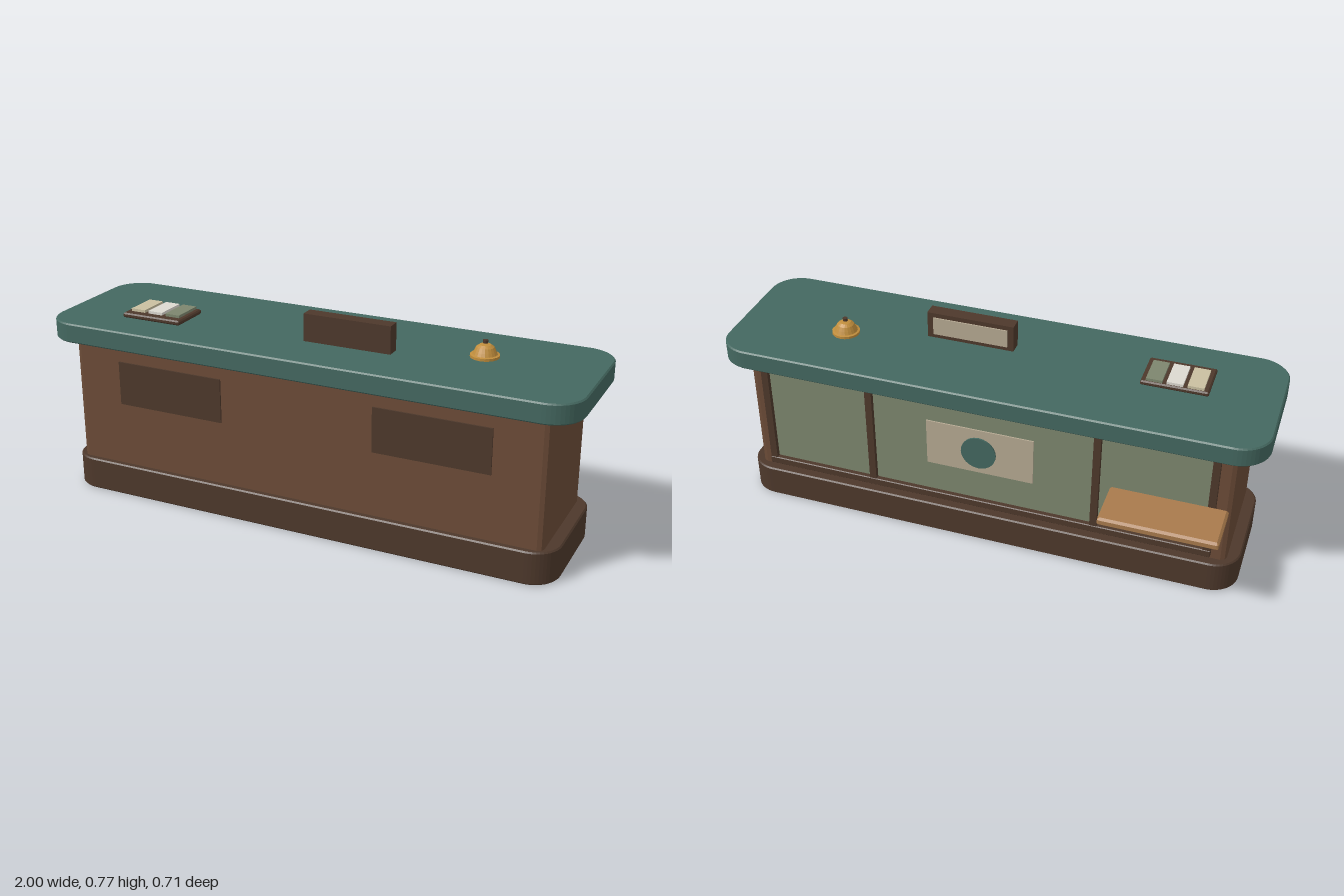
import * as THREE from 'three';

const COLORS = {
  teal: 0x446860, wood: 0x6b4b37, dark: 0x4d382b, oak: 0xa87a4c,
  sage: 0x7d866e, paper: 0xb5a992, cream: 0xc9bfa0, white: 0xdcd8d0, brass: 0xc08d3c,
};
const materials = {};
for (const [name, color] of Object.entries(COLORS)) {
  materials[name] = new THREE.MeshStandardMaterial({ color, flatShading: true });
}

export function createModel() {
  const model = new THREE.Group();

  const add = (name, geometry, material, parent = model) => {
    const mesh = new THREE.Mesh(geometry, materials[material]);
    mesh.name = name;
    parent.add(mesh);
    return mesh;
  };

  // Plain box given by its limits on each axis
  const box = (name, material, [x0, x1], [y0, y1], [z0, z1], parent) => {
    const mesh = add(name, new THREE.BoxGeometry(x1 - x0, y1 - y0, z1 - z0), material, parent);
    mesh.position.set((x0 + x1) / 2, (y0 + y1) / 2, (z0 + z1) / 2);
    return mesh;
  };

  // Horizontal slab with rounded (or cut, segments = 1) corners and bevelled rims
  const slab = (name, material, [x0, x1], [y0, y1], [z0, z1], radius, bevel, segments, parent) => {
    const w = (x1 - x0) / 2 - bevel, d = (z1 - z0) / 2 - bevel;
    const r = Math.max(radius - bevel, 0.0005);
    const shape = new THREE.Shape();
    const corners = [[1, 1], [-1, 1], [-1, -1], [1, -1]];
    corners.forEach(([sx, sz], i) => {
      const start = i * Math.PI / 2;
      shape.absarc(sx * (w - r), sz * (d - r), r, start, start + Math.PI / 2, false);
    });
    shape.closePath();
    const geometry = new THREE.ExtrudeGeometry(shape, {
      depth: y1 - y0 - 2 * bevel, bevelEnabled: true, bevelThickness: bevel,
      bevelSize: bevel, bevelSegments: 1, curveSegments: segments,
    });
    geometry.translate(0, 0, bevel);
    geometry.rotateX(-Math.PI / 2);
    const mesh = add(name, geometry, material, parent);
    mesh.position.set((x0 + x1) / 2, y0, (z0 + z1) / 2);
    return mesh;
  };

  // Main counter
  slab('plinth', 'dark', [-0.95, 0.95], [0, 0.122], [-0.177, 0.318], 0.1, 0.005, 6);
  slab('counterBody', 'wood', [-0.905, 0.905], [0.08, 0.595], [-0.14, 0.295], 0.026, 0.025, 1);
  slab('countertop', 'teal', [-1, 1], [0.593, 0.666], [-0.213, 0.355], 0.115, 0.005, 6);

  // Inset panels on the front
  for (const side of [-1, 1]) {
    const cx = side * 0.505;
    box('frontPanel', 'dark', [cx - 0.212, cx + 0.212], [0.363, 0.528], [0.29, 0.301]);
  }

  // Panelled back with posts and a bottom rail
  const back = new THREE.Group();
  back.name = 'backPanelling';
  model.add(back);
  const posts = [-0.835, -0.425, 0.425, 0.835];
  for (let i = 0; i < 3; i++) {
    box('backPanel', 'sage', [posts[i], posts[i + 1]], [0.165, 0.565], [-0.152, -0.135], back);
  }
  for (const x of posts) {
    box('backPost', 'dark', [x - 0.013, x + 0.013], [0.165, 0.576], [-0.169, -0.146], back);
  }
  slab('bottomRail', 'dark', [-0.85, 0.85], [0.147, 0.177], [-0.171, -0.146], 0.003, 0.003, 1, back);

  // Notice board with a round badge
  box('noticeBoard', 'paper', [-0.2, 0.2], [0.315, 0.5], [-0.176, -0.171]);
  const badge = add('roundBadge', new THREE.CylinderGeometry(0.065, 0.065, 0.006, 24), 'teal');
  badge.rotation.x = Math.PI / 2;
  badge.position.set(0, 0.409, -0.186);

  // Fold-out shelf
  slab('backShelf', 'oak', [-0.895, -0.48], [0.343, 0.375], [-0.355, -0.168], 0.008, 0.008, 1);

  // Leaflet tray
  const tray = new THREE.Group();
  tray.name = 'leafletTray';
  model.add(tray);
  slab('trayBase', 'dark', [-0.752, -0.512], [0.666, 0.684], [0.045, 0.205], 0.005, 0.005, 1, tray);
  ['cream', 'white', 'sage'].forEach((material, i) => {
    const cx = -0.705 + i * 0.073;
    box('leaflet', material, [cx - 0.029, cx + 0.029], [0.68, 0.694], [0.052, 0.173], tray);
  });

  // Desk sign whose face looks to the back
  box('signBlock', 'dark', [-0.033, 0.295], [0.666, 0.767], [0.105, 0.155]);
  box('signFace', 'paper', [-0.01, 0.272], [0.682, 0.75], [0.1, 0.11]);

  // Service bell
  const bell = new THREE.Group();
  bell.name = 'serviceBell';
  bell.position.set(0.59, 0.666, 0.034);
  model.add(bell);
  const profile = [
    [0, 0], [0.051, 0], [0.051, 0.009], [0.043, 0.011], [0.038, 0.022],
    [0.031, 0.036], [0.02, 0.044], [0, 0.047],
  ].map(([r, y]) => new THREE.Vector2(r, y));
  add('bellDome', new THREE.LatheGeometry(profile, 20), 'brass', bell);
  add('bellStem', new THREE.CylinderGeometry(0.004, 0.004, 0.012, 8), 'brass', bell).position.y = 0.047;
  add('bellButton', new THREE.CylinderGeometry(0.009, 0.009, 0.011, 12), 'dark', bell).position.y = 0.055;

  return model;
}
